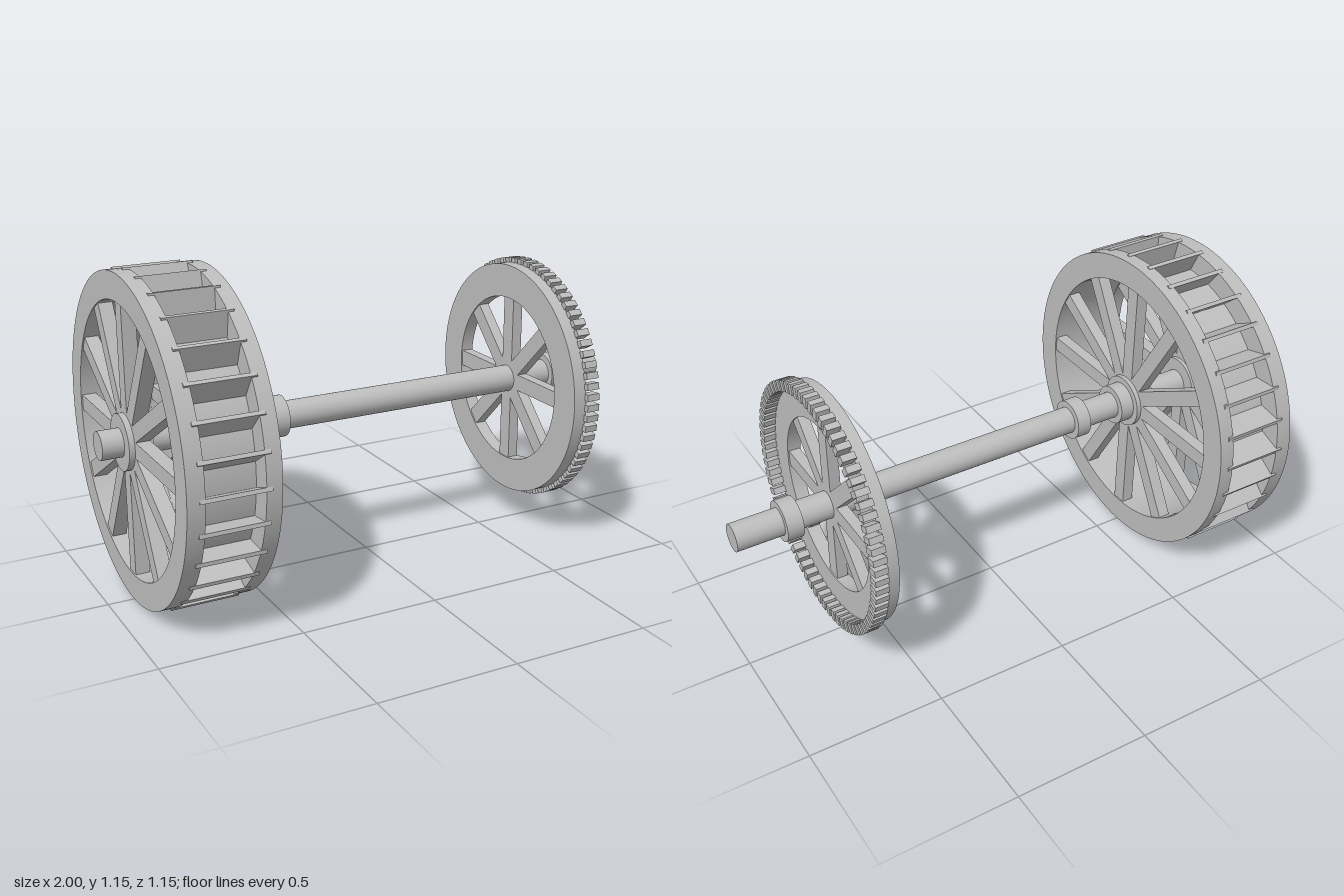
import * as THREE from 'three';
import { toCreasedNormals } from 'three/addons/utils/BufferGeometryUtils.js';

const AXLE_Y = 0.577;

export function createModel() {
  const grey = new THREE.MeshStandardMaterial({ color: 0xbebebe });
  grey.name = 'plain grey';

  const add = (parent, name, geometry) => {
    const mesh = new THREE.Mesh(geometry, grey);
    mesh.name = name;
    parent.add(mesh);
    return mesh;
  };

  // Flat ring around the local z axis, from z0 to z1
  const ring = (outer, inner, z0, z1) => {
    const shape = new THREE.Shape().absarc(0, 0, outer, 0, Math.PI * 2, false);
    shape.holes.push(new THREE.Path().absarc(0, 0, inner, 0, Math.PI * 2, true));
    const geo = new THREE.ExtrudeGeometry(shape, { depth: z1 - z0, bevelEnabled: false, curveSegments: 60 });
    geo.translate(0, 0, z0);
    return toCreasedNormals(geo, 0.5);
  };

  // Solid round bar along the local z axis, from z0 to z1
  const bar = (radius, z0, z1) =>
    new THREE.CylinderGeometry(radius, radius, z1 - z0, 32)
      .rotateX(Math.PI / 2)
      .translate(0, 0, (z0 + z1) / 2);

  // Radial box between two radii, leaning by tilt about its middle
  const radial = (width, r0, r1, z0, z1) =>
    new THREE.BoxGeometry(width, r1 - r0, z1 - z0).translate(0, (r0 + r1) / 2, (z0 + z1) / 2);

  // Repeats one geometry evenly around the axle
  const around = (parent, name, geometry, count) => {
    const set = new THREE.Group();
    set.name = name + 'Set';
    for (let i = 0; i < count; i++) {
      add(set, name, geometry).rotation.z = (-i / count) * Math.PI * 2;
    }
    parent.add(set);
  };

  // Everything is built along z, then turned so the axle lies along x
  const machine = new THREE.Group();
  machine.name = 'waterWheelMachine';
  machine.rotation.y = Math.PI / 2;
  machine.position.y = AXLE_Y;

  // Axle and its collars
  add(machine, 'axle', bar(0.05, -1, 1));
  for (const [z0, z1] of [[-0.595, -0.53], [-0.39, -0.335], [0.77, 0.83]]) {
    add(machine, 'collar', bar(0.074, z0, z1));
  }

  // Water wheel: two spoked sides joined by the sole and slanted paddles
  const wheel = new THREE.Group();
  wheel.name = 'waterWheel';
  machine.add(wheel);
  const sides = [
    { rim: [-0.91, -0.85], spoke: [-0.905, -0.855], hub: [-0.925, -0.84] },
    { rim: [-0.65, -0.595], spoke: [-0.645, -0.6], hub: [-0.665, -0.583] },
  ];
  for (const { rim, spoke, hub } of sides) {
    add(wheel, 'wheelRim', ring(0.571, 0.475, ...rim));
    add(wheel, 'wheelHub', bar(0.098, ...hub));
    around(wheel, 'wheelSpoke', radial(0.056, 0.04, 0.49, ...spoke), 12);
  }
  add(wheel, 'wheelSole', ring(0.492, 0.476, -0.855, -0.645));

  const paddle = new THREE.BoxGeometry(0.014, 0.098, 0.24)
    .translate(0, 0.049, 0)
    .rotateZ(-0.45)
    .translate(0, 0.485, -0.75);
  around(wheel, 'paddle', paddle, 30);

  // Cog wheel with teeth set on the outward face of its rim
  const cog = new THREE.Group();
  cog.name = 'cogWheel';
  machine.add(cog);
  add(cog, 'cogRim', ring(0.438, 0.315, 0.605, 0.655));
  around(cog, 'cogSpoke', radial(0.06, 0.03, 0.33, 0.61, 0.65), 8);
  around(cog, 'cogTooth', radial(0.024, 0.416, 0.456, 0.65, 0.7), 72);

  const model = new THREE.Group();
  model.name = 'waterWheelWithCog';
  model.add(machine);
  return model;
}
